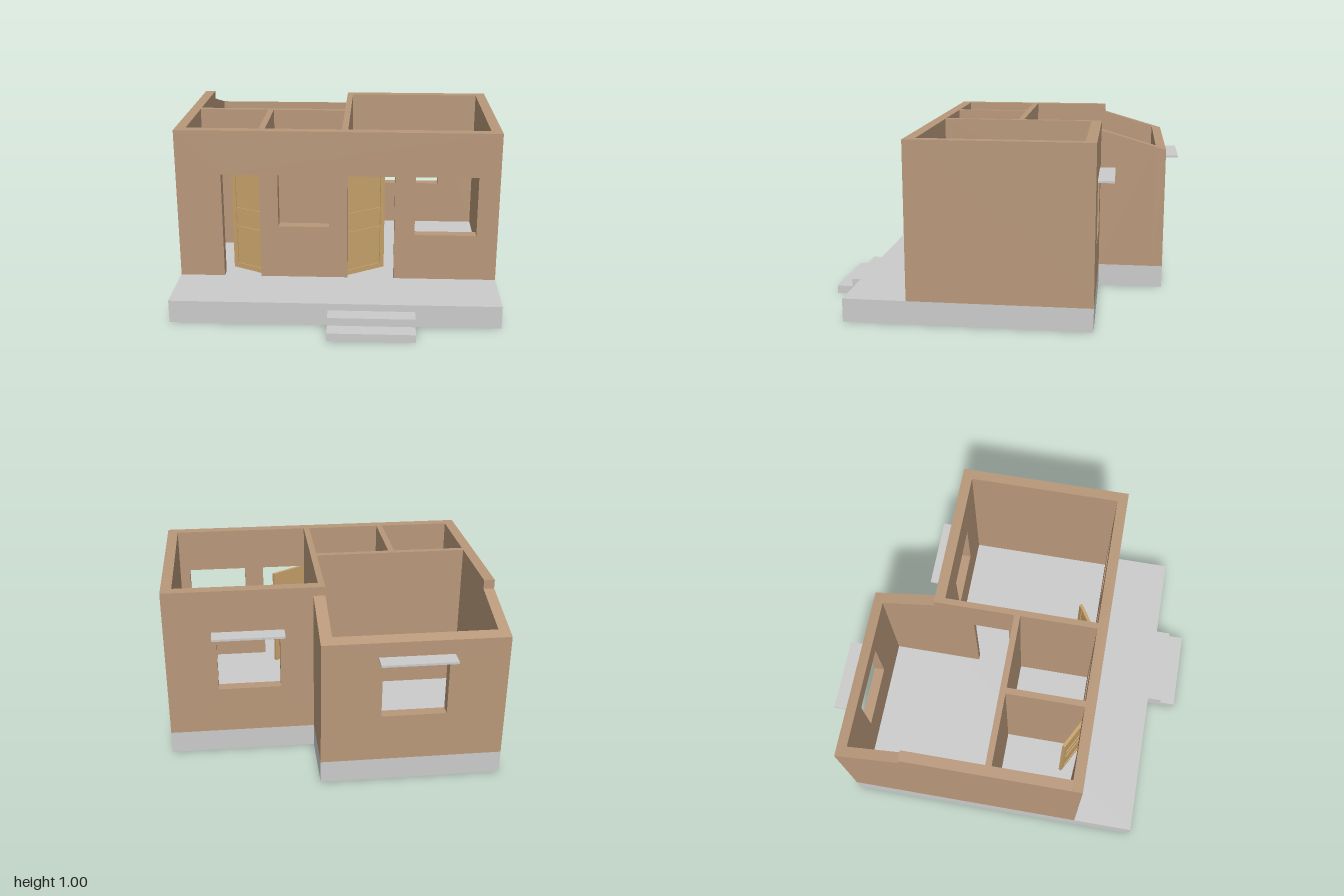
import * as THREE from 'three';

const FLOOR = 0.13, TOP = 1.0, LINTEL = 0.745, SILL = 0.4;
const wallMat = new THREE.MeshStandardMaterial({ color: 0xb8987a, flatShading: true });
const stoneMat = new THREE.MeshStandardMaterial({ color: 0xcccccc, flatShading: true });
const doorMat = new THREE.MeshStandardMaterial({ color: 0xc8a36c, flatShading: true });

// Box given by its limits on each axis
function block(name, mat, [x0, x1], [y0, y1], [z0, z1]) {
  const mesh = new THREE.Mesh(new THREE.BoxGeometry(x1 - x0, y1 - y0, z1 - z0), mat);
  mesh.position.set((x0 + x1) / 2, (y0 + y1) / 2, (z0 + z1) / 2);
  mesh.name = name;
  return mesh;
}

// Upright slab; openings are [u0, u1, y0, y1], and those starting at the floor become doorways
function wallGeometry(u0, u1, top, depth, openings = []) {
  const shape = new THREE.Shape().moveTo(u0, FLOOR);
  for (const [a, b, y0, y1] of openings) {
    if (y0 <= FLOOR) {
      shape.lineTo(a, FLOOR).lineTo(a, y1).lineTo(b, y1).lineTo(b, FLOOR);
    } else {
      shape.holes.push(new THREE.Path().moveTo(a, y0).lineTo(a, y1).lineTo(b, y1).lineTo(b, y0).closePath());
    }
  }
  shape.lineTo(u1, FLOOR).lineTo(u1, top).lineTo(u0, top).closePath();
  return new THREE.ExtrudeGeometry(shape, { depth, bevelEnabled: false });
}

function wallAlongX(name, [x0, x1], [z0, z1], top, openings) {
  const mesh = new THREE.Mesh(wallGeometry(x0, x1, top, z1 - z0, openings), wallMat);
  mesh.position.z = z0;
  mesh.name = name;
  return mesh;
}

function wallAlongZ(name, [x0, x1], [z0, z1], openings) {
  const mesh = new THREE.Mesh(wallGeometry(z0, z1, TOP, x1 - x0, openings).rotateY(-Math.PI / 2), wallMat);
  mesh.position.x = x1;
  mesh.name = name;
  return mesh;
}

// Rear wing walls follow a roof line falling towards the back
const slope = z => 0.95 + (z + 0.53) * (0.11 / 0.38);
function slopeTop(mesh) {
  const p = mesh.geometry.attributes.position;
  for (let i = 0; i < p.count; i++) {
    if (p.getY(i) + mesh.position.y > 0.8) {
      p.setY(i, slope(p.getZ(i) + mesh.position.z) - mesh.position.y);
    }
  }
  mesh.geometry.computeVertexNormals();
  return mesh;
}

// Three-panel door leaf, hinged at its local origin and running along +x
function door(name, width) {
  const leaf = new THREE.Group();
  leaf.name = name;
  const m = 0.028, t = 0.009, h = LINTEL;
  const stiles = [[0, m], [width - m, width]];
  const rails = [[FLOOR, 0.16], [0.375, 0.395], [0.49, 0.51], [0.73, h]];
  for (const s of stiles) leaf.add(block('doorStile', doorMat, s, [FLOOR, h], [-t, t]));
  for (const r of rails) leaf.add(block('doorRail', doorMat, [m, width - m], r, [-t, t]));
  for (let i = 0; i < 3; i++) {
    leaf.add(block('doorPanel', doorMat, [m, width - m], [rails[i][1], rails[i + 1][0]], [-0.003, 0.003]));
  }
  return leaf;
}

export function createModel() {
  const house = new THREE.Group();
  house.name = 'house';

  // L-shaped foundation with the porch in front
  const plan = new THREE.Shape();
  [[-0.91, -0.82], [0.91, -0.82], [0.91, 0.53], [0.09, 0.53], [0.09, 0.91], [-0.91, 0.91]]
    .forEach(([x, y], i) => (i ? plan.lineTo(x, y) : plan.moveTo(x, y)));
  plan.closePath();
  const base = new THREE.Mesh(
    new THREE.ExtrudeGeometry(plan, { depth: FLOOR, bevelEnabled: false }).rotateX(-Math.PI / 2), stoneMat);
  base.name = 'foundation';
  house.add(base);

  // Entrance steps
  house.add(block('upperStep', stoneMat, [-0.035, 0.44], [0, 0.09], [0.82, 0.91]));
  house.add(block('lowerStep', stoneMat, [-0.035, 0.44], [0, 0.045], [0.91, 1.0]));

  // Front wall: two doorways and two windows
  house.add(wallAlongX('frontWall', [-0.91, 0.91], [0.41, 0.47], TOP, [
    [-0.655, -0.44, FLOOR, LINTEL],
    [-0.335, -0.045, 0.44, LINTEL],
    [0.06, 0.325, FLOOR, LINTEL],
    [0.44, 0.79, SILL, LINTEL],
  ]));

  // Full-height side, rear and inner walls
  house.add(wallAlongZ('rightSideWall', [-0.91, -0.85], [-0.53, 0.41]));
  house.add(wallAlongZ('leftSideWall', [0.85, 0.91], [-0.53, 0.41]));
  house.add(wallAlongZ('middleWall', [0.025, 0.06], [-0.53, 0.41], [[-0.31, -0.1, FLOOR, LINTEL]]));
  house.add(wallAlongX('leftRearWall', [0.06, 0.85], [-0.53, -0.47], TOP, [[0.275, 0.625, SILL, LINTEL]]));
  house.add(wallAlongX('crossWall', [-0.85, 0.025], [-0.065, -0.03], TOP));
  house.add(wallAlongZ('partitionWall', [-0.44, -0.405], [-0.03, 0.41]));

  // Rear wing under the falling roof line
  house.add(slopeTop(block('wingRightWall', wallMat, [-0.91, -0.85], [FLOOR, 0.95], [-0.85, -0.53])));
  house.add(slopeTop(block('wingLeftWall', wallMat, [0.025, 0.09], [FLOOR, 0.95], [-0.85, -0.53])));
  house.add(slopeTop(wallAlongX('wingRearWall', [-0.91, 0.09], [-0.91, -0.85], 0.85,
    [[-0.59, -0.235, SILL, LINTEL]])));

  // Thin canopies over the rear windows
  house.add(block('wingCanopy', stoneMat, [-0.615, -0.21], [0.745, 0.757], [-1.0, -0.91]));
  house.add(block('leftCanopy', stoneMat, [0.25, 0.65], [0.745, 0.757], [-0.62, -0.53]));

  // Doors standing ajar inwards
  const rightDoor = door('rightDoor', 0.225);
  rightDoor.position.set(-0.415, 0, 0.437);
  rightDoor.rotation.y = Math.PI - 0.49;
  const leftDoor = door('leftDoor', 0.27);
  leftDoor.position.set(0.037, 0, 0.441);
  leftDoor.rotation.y = 0.57;
  house.add(rightDoor, leftDoor);

  return house;
}
